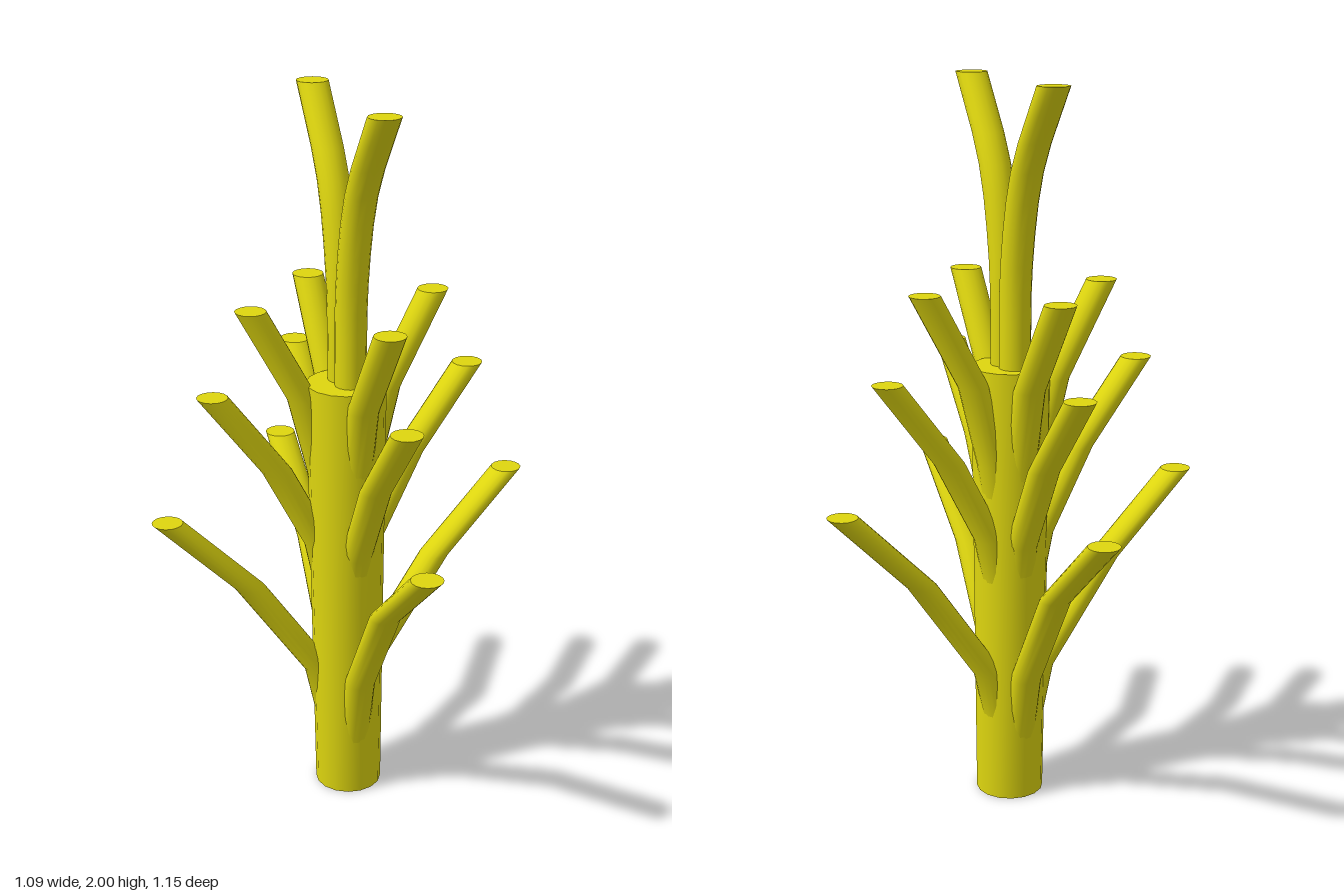
import * as THREE from 'three';

const SIDES = 16;
const R = 0.043; // branch radius, measured on a level cut

// Joins level circles [x, y, z, radius] from bottom to top and closes both ends
function loft(rings, material, name) {
  const pos = [], index = [];
  const addRing = ([x, y, z, r]) => {
    const start = pos.length / 3;
    for (let i = 0; i < SIDES; i++) {
      const a = (i / SIDES) * Math.PI * 2;
      pos.push(x + r * Math.cos(a), y, z + r * Math.sin(a));
    }
    return start;
  };
  const starts = rings.map(addRing);
  for (let k = 0; k < starts.length - 1; k++) {
    for (let i = 0; i < SIDES; i++) {
      const j = (i + 1) % SIDES;
      const a = starts[k] + i, b = starts[k] + j, c = starts[k + 1] + i, d = starts[k + 1] + j;
      index.push(a, c, b, b, c, d);
    }
  }
  // level end caps with their own vertices for crisp rims
  const first = addRing(rings[0]), last = addRing(rings[rings.length - 1]);
  for (let i = 1; i < SIDES - 1; i++) {
    index.push(first, first + i, first + i + 1);
    index.push(last, last + i + 1, last + i);
  }
  const geo = new THREE.BufferGeometry();
  geo.setAttribute('position', new THREE.Float32BufferAttribute(pos, 3));
  geo.setIndex(index);
  geo.computeVertexNormals();
  const mesh = new THREE.Mesh(geo, material);
  mesh.name = name;
  return mesh;
}

export function createModel() {
  const model = new THREE.Group();
  model.name = 'branchingStem';
  const yellow = new THREE.MeshStandardMaterial({ color: 0xded60f });

  // Trunk, widening slightly to the top
  model.add(loft([[0.003, 0, -0.003, 0.094], [-0.003, 0.7, 0.003, 0.102], [-0.006, 1.24, 0.005, 0.108]], yellow, 'trunk'));

  // Branch paths as [distance from the axis, height]
  const tiers = [
    { name: 'lower',
      side: [[0.045, 0.22], [0.078, 0.37], [0.28, 0.665], [0.505, 0.895]],
      deep: [[0.045, 0.14], [0.095, 0.365], [0.27, 0.66], [0.53, 0.895]] },
    { name: 'middle',
      side: [[0.045, 0.62], [0.075, 0.765], [0.195, 1.0], [0.37, 1.235]],
      deep: [[0.045, 0.6], [0.07, 0.75], [0.2, 1.0], [0.395, 1.235]] },
    { name: 'upper',
      side: [[0.045, 0.85], [0.065, 0.98], [0.12, 1.2], [0.26, 1.46]],
      deep: [[0.045, 0.84], [0.062, 0.98], [0.112, 1.195], [0.285, 1.46]] },
  ];
  for (const { name, side, deep } of tiers) {
    for (const s of [1, -1]) {
      // side branches sit a little behind the trunk axis and drift back outwards
      model.add(loft(side.map(([d, y]) => [s * d, y, -0.022 - 0.03 * d, R - 0.001]),
        yellow, name + (s > 0 ? 'LeftBranch' : 'RightBranch')));
      model.add(loft(deep.map(([d, y]) => [-0.002, y, s * d, R]),
        yellow, name + (s > 0 ? 'FrontBranch' : 'BackBranch')));
    }
  }

  // Forked crown: two curved shoots leaning forward and back
  const shoot = new THREE.CatmullRomCurve3(
    [[0.025, 1.1], [0.026, 1.3], [0.035, 1.52], [0.095, 1.77], [0.24, 2]]
      .map(([d, y]) => new THREE.Vector3(0, y, d))).getPoints(12);
  for (const s of [1, -1]) {
    model.add(loft(shoot.map((p) => [-0.002, p.y, s * p.z, R]), yellow, s > 0 ? 'frontShoot' : 'backShoot'));
  }
  return model;
}
